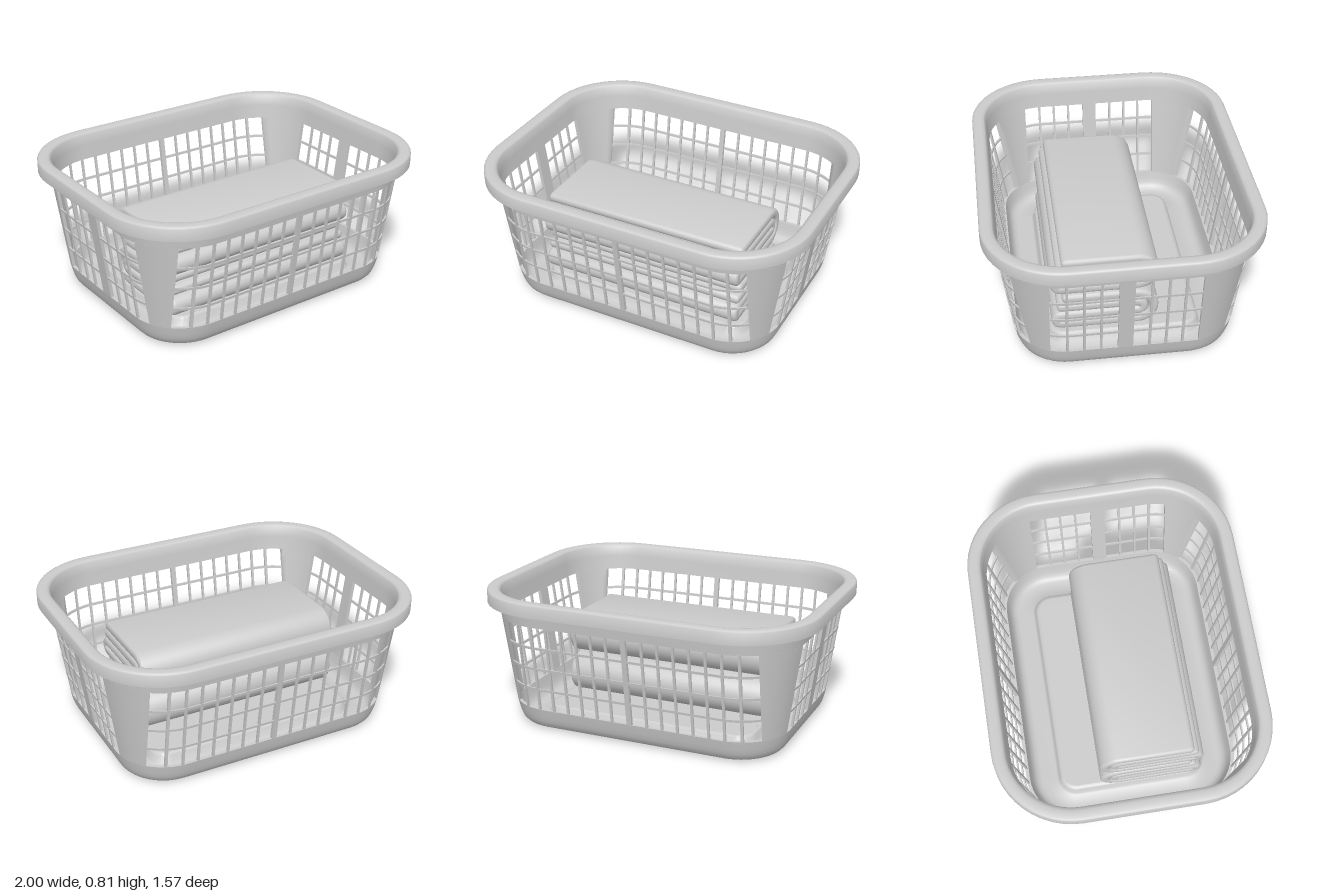
import * as THREE from 'three';
import { mergeGeometries, toCreasedNormals } from 'three/addons/utils/BufferGeometryUtils.js';

// Every level of the basket is an offset r of one rectangle with these corner centres
const CX = 0.55, CZ = 0.335, THICK = 0.02;
const wallR = y => 0.30 + (y - 0.13) * 0.139;
const range = (n, f) => Array.from({ length: n }, (_, i) => f(i));
const lerp = THREE.MathUtils.lerp;

// Stations on the outline: each maps an offset r to [x, z]
const bulge = (r, over) => Math.sqrt(Math.max(0, r * r - Math.max(0, over) ** 2));
const onX = (x, side) => r => [x, side * (CZ + bulge(r, Math.abs(x) - CX))];
const onZ = (z, side) => r => [side * (CX + bulge(r, Math.abs(z) - CZ)), z];
const onCorner = (A, B, t) => r => {
  const a = A(r), b = B(r);
  const cx = Math.sign(a[0]) * CX, cz = Math.sign(a[1]) * CZ;
  const p = Math.atan2(a[0] - cx, a[1] - cz);
  let d = Math.atan2(b[0] - cx, b[1] - cz) - p;
  if (d > Math.PI) d -= 2 * Math.PI;
  if (d < -Math.PI) d += 2 * Math.PI;
  return [cx + r * Math.sin(p + d * t), cz + r * Math.cos(p + d * t)];
};

// Whole outline, counter-clockwise from above
const outline = [];
[[1, 1], [1, -1], [-1, -1], [-1, 1]].forEach(([sx, sz], q) => {
  for (let i = 0; i <= 12; i++) {
    const a = (q + i / 12) * Math.PI / 2;
    outline.push(r => [sx * CX + r * Math.sin(a), sz * CZ + r * Math.cos(a)]);
  }
});

// Sweeps a closed profile of [r, y] (up the outside, down the inside) through stations
function sweep(profile, stations, closed) {
  const n = profile.length, m = stations.length, pos = [], idx = [];
  for (const s of stations) for (const [r, y] of profile) {
    const [x, z] = s(r);
    pos.push(x, y, z);
  }
  const quad = (a, b, c, d) => idx.push(a, b, c, a, c, d);
  for (let i = 0; i < (closed ? m : m - 1); i++) for (let j = 0; j < n; j++) {
    const a = i * n, b = ((i + 1) % m) * n, k = (j + 1) % n;
    quad(a + j, b + j, b + k, a + k);
  }
  if (!closed) {
    const e = (m - 1) * n;
    for (let j = 0; j < n / 2 - 1; j++) {
      quad(j, j + 1, n - 2 - j, n - 1 - j);
      quad(e + n - 1 - j, e + n - 2 - j, e + j + 1, e + j);
    }
  }
  const g = new THREE.BufferGeometry();
  g.setAttribute('position', new THREE.Float32BufferAttribute(pos, 3));
  g.setIndex(idx);
  return toCreasedNormals(g, 0.9);
}

// Piece of wall between two heights
function wallPiece(stations, y0, y1, thick, steps = 1) {
  const ys = range(steps + 1, i => lerp(y0, y1, i / steps));
  const outer = ys.map(y => [wallR(y), y]);
  const inner = ys.map(y => [wallR(y) - thick, y]).reverse();
  return sweep([...outer, ...inner], stations, false);
}

// Cross-section of one folded towel, as a thick line in (z, y)
function towelGeometry() {
  const line = [];
  const arc = (z, y, r, from, to, n) => {
    for (let i = 0; i <= n; i++) {
      const a = lerp(from, to, i / n);
      line.push(new THREE.Vector2(z + r * Math.cos(a), y + r * Math.sin(a)));
    }
  };
  const P = Math.PI;
  line.push(new THREE.Vector2(0.33, 0.21));
  arc(-0.08, 0.12, 0.09, P / 2, 1.5 * P, 16);
  arc(0.36, 0.06, 0.03, -P / 2, P / 2, 10);
  arc(-0.08, 0.12, 0.03, 1.5 * P, P / 2, 10);
  line.push(new THREE.Vector2(0.36, 0.15));

  const h = 0.0285, left = [], right = [];
  line.forEach((p, i) => {
    const a = line[Math.max(0, i - 1)], b = line[Math.min(line.length - 1, i + 1)];
    const t = b.clone().sub(a).normalize();
    // straight runs keep their own direction at the joints with the arcs
    if (Math.abs(t.x) > 0.985) t.set(Math.sign(t.x), 0);
    left.push(new THREE.Vector2(p.x - t.y * h, p.y + t.x * h));
    right.push(new THREE.Vector2(p.x + t.y * h, p.y - t.x * h));
  });
  // rounded free edges, from top to bottom
  const cap = p => [0.75, 0.4, 0, -0.4, -0.75].map(k =>
    new THREE.Vector2(p.x + 0.025 * Math.sqrt(1 - k * k), p.y + k * h));
  const shape = new THREE.Shape([
    ...left, ...cap(line[line.length - 1]), ...right.reverse(), ...cap(line[0]),
  ]);
  const bevel = 0.02;
  const g = new THREE.ExtrudeGeometry(shape, {
    depth: 1.26 - 2 * bevel, bevelEnabled: true, bevelThickness: bevel,
    bevelSize: bevel, bevelOffset: -bevel, bevelSegments: 3,
  });
  g.translate(0, 0, bevel - 0.63).rotateY(-Math.PI / 2);
  return toCreasedNormals(g, 0.7);
}

export function createModel() {
  const group = new THREE.Group();
  const material = new THREE.MeshStandardMaterial({ color: 0xcccccc });
  const add = (name, geometry) => {
    const mesh = new THREE.Mesh(geometry, material);
    mesh.name = name;
    group.add(mesh);
    return mesh;
  };

  // Base: foot ring with a rounded outer edge around a raised floor
  const wallFoot = wallR(0.135);
  add('base', sweep([
    [0.07, 0.066], [0.08, 0.055], [0.088, 0.012], [0.102, 0], [0.215, 0], [0.235, 0.004],
    [0.255, 0.014], [0.27, 0.03], [0.281, 0.055], [0.29, 0.085], [wallFoot, 0.135],
    [wallFoot - THICK, 0.135], [0.27, 0.09], [0.261, 0.062], [0.25, 0.042], [0.235, 0.028],
    [0.212, 0.02], [0.118, 0.02], [0.106, 0.03], [0.098, 0.07], [0.09, 0.08], [0.07, 0.083],
  ], outline, true));

  const floorShape = new THREE.Shape(outline.map(s => {
    const [x, z] = s(0.075);
    return new THREE.Vector2(x, -z);
  }));
  const floor = new THREE.ExtrudeGeometry(floorShape, { depth: 0.017, bevelEnabled: false });
  add('raisedFloor', floor.rotateX(-Math.PI / 2).translate(0, 0.066, 0));

  // Upper band of the wall, turned over into a hollow rim with a hanging lip
  const band = wallR(0.655), neck = wallR(0.74);
  add('rim', sweep([
    [band, 0.655], [neck, 0.74], [0.39, 0.785], [0.398, 0.794], [0.424, 0.794], [0.432, 0.785],
    [0.432, 0.735], [0.45, 0.735], [0.45, 0.802], [0.445, 0.81], [0.432, 0.814],
    [0.395, 0.814], [0.38, 0.81], [0.372, 0.8], [neck - THICK, 0.74], [band - THICK, 0.655],
  ], outline, true));

  // Lattice walls: windows run along each side and wrap into the corners
  const Y0 = 0.133, Y1 = 0.657, rows = 4, bar = 0.007;
  const sides = [
    { at: u => onX(u, 1), panels: [[-0.76, -0.015], [0.015, 0.76]], cells: 8 },
    { at: u => onZ(u, 1), panels: [[0.445, 0.07], [-0.015, -0.385]], cells: 4 },
    { at: u => onX(u, -1), panels: [[0.76, 0.015], [-0.015, -0.76]], cells: 8 },
    { at: u => onZ(u, -1), panels: [[-0.385, -0.015], [0.07, 0.445]], cells: 4 },
  ];
  const bars = [], posts = [];
  sides.forEach(({ at, panels, cells }, s) => {
    for (const [a, b] of panels) {
      const dir = Math.sign(b - a);
      for (let i = 1; i < cells; i++) {
        const u = lerp(a, b, i / cells);
        bars.push(wallPiece([at(u - dir * bar), at(u + dir * bar)], Y0, Y1, 0.012, 4));
      }
      const across = range(cells * 2 + 1, i => at(lerp(a, b, i / cells / 2)));
      for (let k = 1; k < rows; k++) {
        const y = lerp(Y0, Y1, k / rows);
        bars.push(wallPiece(across, y - bar, y + bar, 0.009));
      }
    }
    // middle divider, then the corner post to the next side
    posts.push(wallPiece([at(panels[0][1]), at(panels[1][0])], Y0, Y1, THICK, 4));
    const next = sides[(s + 1) % 4];
    const A = at(panels[1][1]), B = next.at(next.panels[0][0]);
    posts.push(wallPiece(range(9, i => onCorner(A, B, i / 8)), Y0, Y1, THICK, 6));
  });
  add('latticeBars', mergeGeometries(bars));
  add('wallPosts', mergeGeometries(posts));

  // Two folded towels, one on the other
  const towel = towelGeometry();
  add('lowerTowel', towel).position.set(-0.02, 0.085, 0);
  add('upperTowel', towel).position.set(-0.02, 0.337, 0);
  return group;
}
